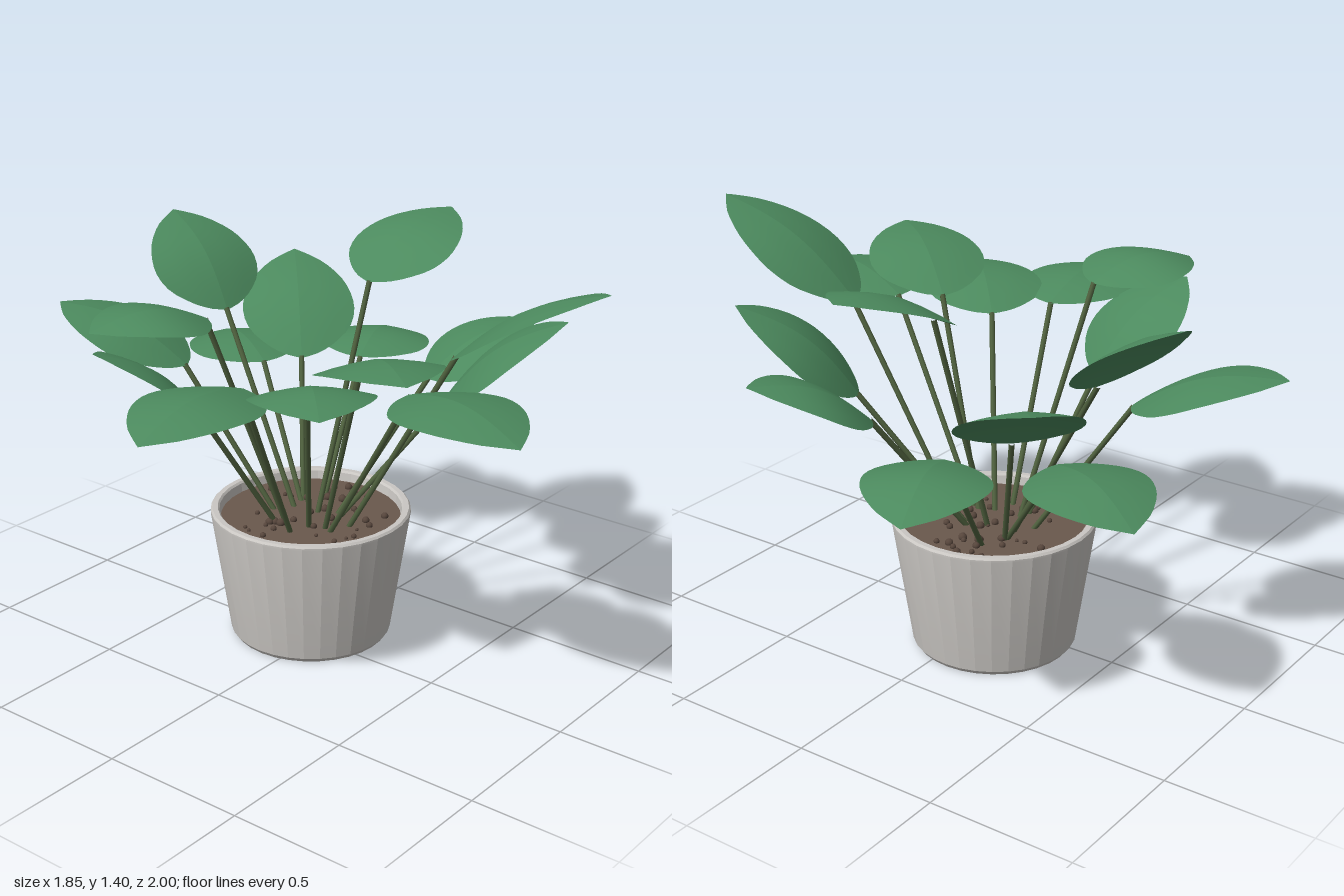
import * as THREE from 'three';
import { toCreasedNormals } from 'three/addons/utils/BufferGeometryUtils.js';

const mat = (name, color, side = THREE.FrontSide) => {
  const m = new THREE.MeshStandardMaterial({ color, side });
  m.name = name;
  return m;
};

const POT_X = 0.074, POT_Z = -0.071, SOIL_Y = 0.428;

// Each leaf: stem root (x, z), blade base (x, y, z), blade tip (x, y, z)
const LEAVES = [
  [[0.035, -0.19], [-0.055, 0.91, -0.51], [-0.17, 1.07, -1.0]],
  [[0.09, -0.15], [0.17, 1.05, -0.52], [0.28, 1.33, -0.865]],
  [[0.14, -0.16], [0.31, 0.83, -0.47], [0.53, 0.80, -0.885]],
  [[0.15, -0.165], [0.335, 0.87, -0.32], [0.665, 1.14, -0.62]],
  [[0.22, -0.13], [0.515, 0.85, -0.2], [0.925, 0.82, -0.35]],
  [[0.1, -0.066], [0.325, 1.21, -0.025], [0.775, 1.38, 0.0]],
  [[0.13, -0.01], [0.44, 0.87, 0.145], [0.78, 1.04, 0.36]],
  [[0.115, 0.005], [0.295, 0.87, 0.315], [0.495, 1.165, 0.66]],
  [[0.08, 0.08], [0.11, 1.11, 0.475], [0.16, 1.405, 0.995]],
  [[0.01, 0.055], [-0.135, 1.06, 0.48], [-0.30, 1.06, 0.99]],
  [[0.02, 0.03], [-0.125, 1.10, 0.285], [-0.44, 1.22, 0.69]],
  [[0.0, -0.02], [-0.235, 1.03, 0.16], [-0.55, 1.09, 0.46]],
  [[-0.07, -0.04], [-0.39, 1.05, 0.03], [-0.925, 1.04, 0.09]],
  [[-0.01, -0.11], [-0.28, 1.20, -0.21], [-0.665, 1.22, -0.355]],
  [[-0.04, -0.12], [-0.31, 0.87, -0.21], [-0.655, 1.15, -0.355]],
];

// Half width of a blade along its length, from 0 to 1
const outline = new THREE.SplineCurve([
  [0, 0], [0.04, 0.3], [0.12, 0.6], [0.25, 0.89], [0.4, 1], [0.55, 0.95],
  [0.7, 0.79], [0.85, 0.5], [0.94, 0.22], [1, 0],
].map(([t, w]) => new THREE.Vector2(t, w)));

// One half of a blade: arched along its length, drooping away from the midrib
function halfBlade(base, tip, sign) {
  const along = tip.clone().sub(base);
  const side = new THREE.Vector3().crossVectors(along, new THREE.Vector3(0, 1, 0)).normalize();
  const up = new THREE.Vector3().crossVectors(side, along).normalize();
  const geo = new THREE.PlaneGeometry(1, 1, 3, 20);
  const pos = geo.attributes.position;
  const p = new THREE.Vector3();
  for (let i = 0; i < pos.count; i++) {
    const u = pos.getX(i) + 0.5;
    const o = outline.getPoint(pos.getY(i) + 0.5);
    const w = Math.max(0, o.y) * u;
    p.copy(base).addScaledVector(along, o.x)
      .addScaledVector(side, sign * w * 0.2)
      .addScaledVector(up, 0.053 * Math.sin(Math.PI * o.x) - 0.022 * w * w - 0.012 * w);
    pos.setXYZ(i, p.x, p.y, p.z);
  }
  geo.computeVertexNormals();
  return geo;
}

export function createModel() {
  const plant = new THREE.Group();
  plant.name = 'pottedPlant';
  const potGrey = mat('potGrey', 0xcac7c3);
  const soilBrown = mat('soilBrown', 0x6a584d);
  const pebbleBrown = mat('pebbleBrown', 0x57463c);
  const stemGreen = mat('stemGreen', 0x50623f);
  const leafGreen = mat('leafGreen', 0x4c8a5e, THREE.DoubleSide);

  const add = (parent, name, geo, material) => {
    const mesh = new THREE.Mesh(geo, material);
    mesh.name = name;
    parent.add(mesh);
    return mesh;
  };

  // Pot: thick tapered wall, open underneath, with a rounded rim
  const pot = new THREE.Group();
  pot.name = 'pot';
  pot.position.set(POT_X, 0, POT_Z);
  plant.add(pot);
  const profile = [
    [0.308, 0.41], [0.237, 0.03], [0.262, 0], [0.268, 0], [0.279, 0.015],
    [0.344, 0.45], [0.344, 0.458], [0.338, 0.465], [0.32, 0.465], [0.314, 0.458], [0.308, 0.41],
  ].map(([r, y]) => new THREE.Vector2(r, y));
  add(pot, 'potShell', toCreasedNormals(new THREE.LatheGeometry(profile, 32), 0.15), potGrey);

  // Soil and scattered pebbles
  const soil = add(pot, 'soil', new THREE.CircleGeometry(0.311, 32), soilBrown);
  soil.rotation.x = -Math.PI / 2;
  soil.position.y = SOIL_Y;
  let seed = 11;
  const rand = () => (seed = (seed * 16807) % 2147483647) / 2147483647;
  for (let i = 0; i < 42; i++) {
    const a = rand() * Math.PI * 2, d = 0.26 * Math.sqrt(rand());
    const r = 0.006 + 0.01 * rand();
    const pebble = add(pot, 'pebble', new THREE.IcosahedronGeometry(r, 1), pebbleBrown);
    pebble.position.set(Math.cos(a) * d, SOIL_Y + r * 0.4, Math.sin(a) * d);
  }

  // Stems and leaf blades
  LEAVES.forEach(([root, b, t]) => {
    const leaf = new THREE.Group();
    leaf.name = 'leaf';
    plant.add(leaf);
    const base = new THREE.Vector3(...b), tip = new THREE.Vector3(...t);
    const start = new THREE.Vector3(root[0], SOIL_Y - 0.02, root[1]);
    const end = base.clone().lerp(tip, 0.02);
    const path = new THREE.LineCurve3(start, end);
    add(leaf, 'stem', new THREE.TubeGeometry(path, 1, 0.0095, 7), stemGreen);
    for (const s of [-1, 1]) add(leaf, 'bladeHalf', halfBlade(base, tip, s), leafGreen);
  });
  return plant;
}
